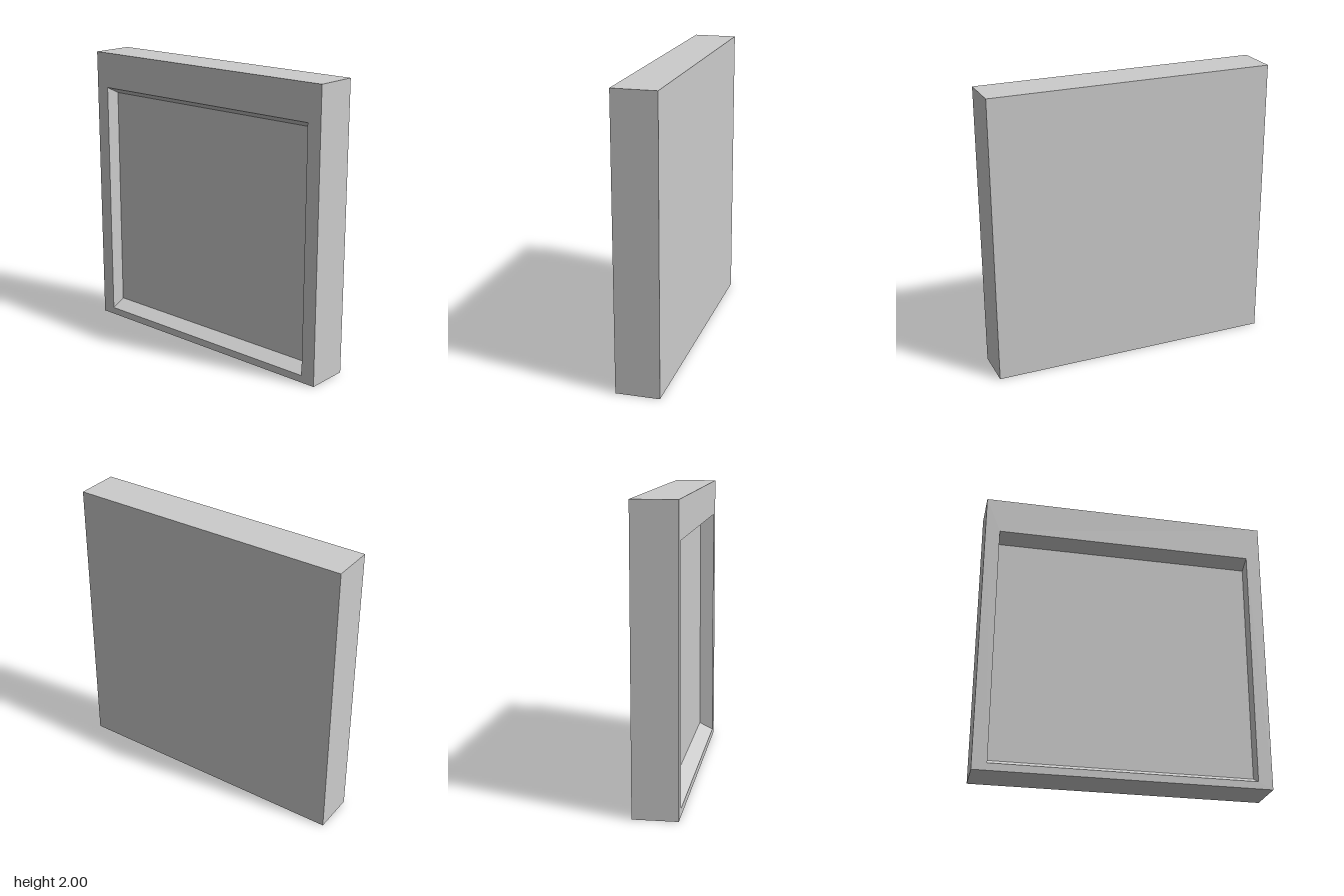
import * as THREE from 'three';

// Four corners of an upright rectangle, counter-clockwise seen from the front
const rect = (halfWidth, bottom, top, z) => [
  [-halfWidth, bottom, z], [halfWidth, bottom, z],
  [halfWidth, top, z], [-halfWidth, top, z],
];

// Flat-faced geometry from a list of quads
function quadGeometry(quads) {
  const positions = quads.flatMap(([a, b, c, d]) => [a, b, c, a, c, d].flat());
  const geometry = new THREE.BufferGeometry();
  geometry.setAttribute('position', new THREE.Float32BufferAttribute(positions, 3));
  geometry.computeVertexNormals();
  return geometry;
}

// Walls joining one loop to the next
const wallsBetween = (from, to) => from.map((corner, i) => {
  const next = (i + 1) % from.length;
  return [corner, from[next], to[next], to[i]];
});

export function createModel() {
  const group = new THREE.Group();
  group.name = 'recessedPanel';

  const grey = new THREE.MeshStandardMaterial({ color: 0xcccccc });
  grey.name = 'lightGrey';

  const back = rect(1, 0, 2, -0.15);
  const front = rect(1, 0, 2, 0.15);
  const opening = rect(0.9, 0.05, 1.75, 0.15);
  const recess = rect(0.9, 0.1, 1.7, 0.05);

  // Back, outer sides and front rim
  const frame = new THREE.Mesh(quadGeometry([
    [...back].reverse(),
    ...wallsBetween(back, front),
    ...wallsBetween(front, opening),
  ]), grey);
  frame.name = 'frame';

  // Sloped sill and head, straight sides and the sunken panel
  const niche = new THREE.Mesh(quadGeometry([
    ...wallsBetween(opening, recess),
    recess,
  ]), grey);
  niche.name = 'recess';

  group.add(frame, niche);
  return group;
}
